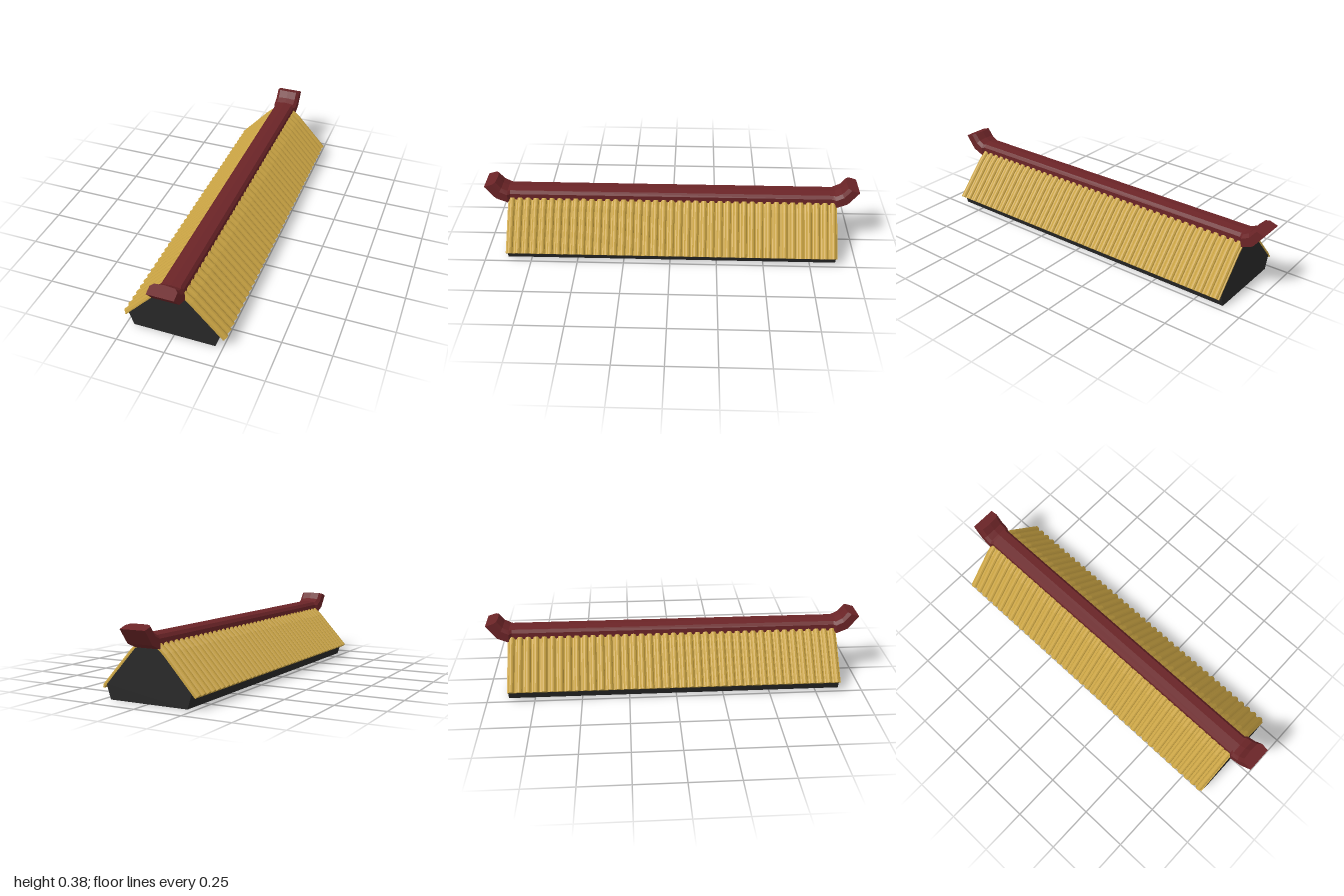
import * as THREE from 'three';

const paint = (color) => new THREE.MeshStandardMaterial({ color, flatShading: true });

function named(name, geometry, material) {
  const mesh = new THREE.Mesh(geometry, material);
  mesh.name = name;
  return mesh;
}

// Closed skin over rings that run counter-clockwise seen from +z, ordered from -z to +z
function loft(rings) {
  const n = rings[0].length;
  const index = [];
  for (let i = 0; i < rings.length - 1; i++) {
    for (let j = 0; j < n; j++) {
      const k = (j + 1) % n;
      const a = i * n + j, b = i * n + k, c = b + n, d = a + n;
      index.push(a, b, c, a, c, d);
    }
  }
  const last = (rings.length - 1) * n;
  for (let j = 1; j < n - 1; j++) {
    index.push(0, j + 1, j);
    index.push(last, last + j, last + j + 1);
  }
  const geometry = new THREE.BufferGeometry();
  geometry.setAttribute('position', new THREE.Float32BufferAttribute(rings.flat(2), 3));
  geometry.setIndex(index);
  geometry.computeVertexNormals();
  return geometry;
}

// Rows of rounded tiles, following the slope from eave to ridge
function tileSlope(length, count) {
  const wave = [[0, 0.007], [0.14, 0.009], [0.2, 0.015], [0.33, 0.02], [0.5, 0.022],
    [0.67, 0.02], [0.8, 0.015], [0.86, 0.009]];
  const pitch = length / count;
  const outline = [new THREE.Vector2(length / 2, 0)];
  for (let i = count - 1; i >= 0; i--) {
    for (const [t, h] of wave) {
      outline.push(new THREE.Vector2(-length / 2 + (i + 1 - t) * pitch, h));
    }
  }
  outline.push(new THREE.Vector2(-length / 2, 0.007), new THREE.Vector2(-length / 2, 0));
  const geometry = new THREE.ExtrudeGeometry(new THREE.Shape(outline), {
    depth: 2, steps: 2, bevelEnabled: false,
  });
  // Underside point and outward direction at eave, bend and ridge
  const path = [
    [0.252, 0.052, 0.74, 0.67],
    [0.089, 0.231, 0.71, 0.7],
    [0.046, 0.269, 0.66, 0.75],
  ];
  const p = geometry.attributes.position;
  for (let i = 0; i < p.count; i++) {
    const [x, y, nx, ny] = path[Math.round(p.getZ(i))];
    const h = p.getY(i);
    p.setXYZ(i, x + nx * h, y + ny * h, p.getX(i));
  }
  geometry.computeVertexNormals();
  return geometry;
}

// Ridge beam with upturned ends
function ridgeBeam() {
  // half width, bottom z, bottom y, top z, top y
  const half = [
    [0.057, 0.868, 0.26, 0.868, 0.325],
    [0.068, 0.884, 0.257, 0.88, 0.325],
    [0.068, 0.945, 0.283, 0.91, 0.341],
    [0.068, 1.0, 0.355, 0.937, 0.375],
  ];
  const mirrored = half.map(([w, bz, by, tz, ty]) => [w, -bz, by, -tz, ty]).reverse();
  const section = [[1, 0], [1, 0.68], [0.76, 0.93], [0, 1], [-0.76, 0.93], [-1, 0.68], [-1, 0]];
  const rings = [...mirrored, ...half].map(([w, bz, by, tz, ty]) =>
    section.map(([u, v]) => [u * w, by + (ty - by) * v, bz + (tz - bz) * v]));
  return loft(rings);
}

export function createModel() {
  const model = new THREE.Group();
  model.name = 'tiledRoof';
  const dark = paint(0x282828);
  const gold = paint(0xc9a343);
  const red = paint(0x6b2427);

  // Solid gable body
  const length = 1.77;
  const gable = new THREE.Shape([
    [-0.212, 0], [0.212, 0], [0.235, 0.072], [0.064, 0.258], [-0.064, 0.258], [-0.235, 0.072],
  ].map(([x, y]) => new THREE.Vector2(x, y)));
  const body = new THREE.ExtrudeGeometry(gable, { depth: length, bevelEnabled: false });
  body.translate(0, 0, -length / 2 - 0.005);
  model.add(named('roofBody', body, dark));

  // Tiled slopes on both sides
  const slope = tileSlope(length, 41);
  ['leftTiles', 'rightTiles'].forEach((name, i) => {
    const tiles = named(name, slope, gold);
    tiles.rotation.y = i * Math.PI;
    tiles.position.z = -0.005;
    model.add(tiles);
  });

  model.add(named('ridgeBeam', ridgeBeam(), red));
  return model;
}
